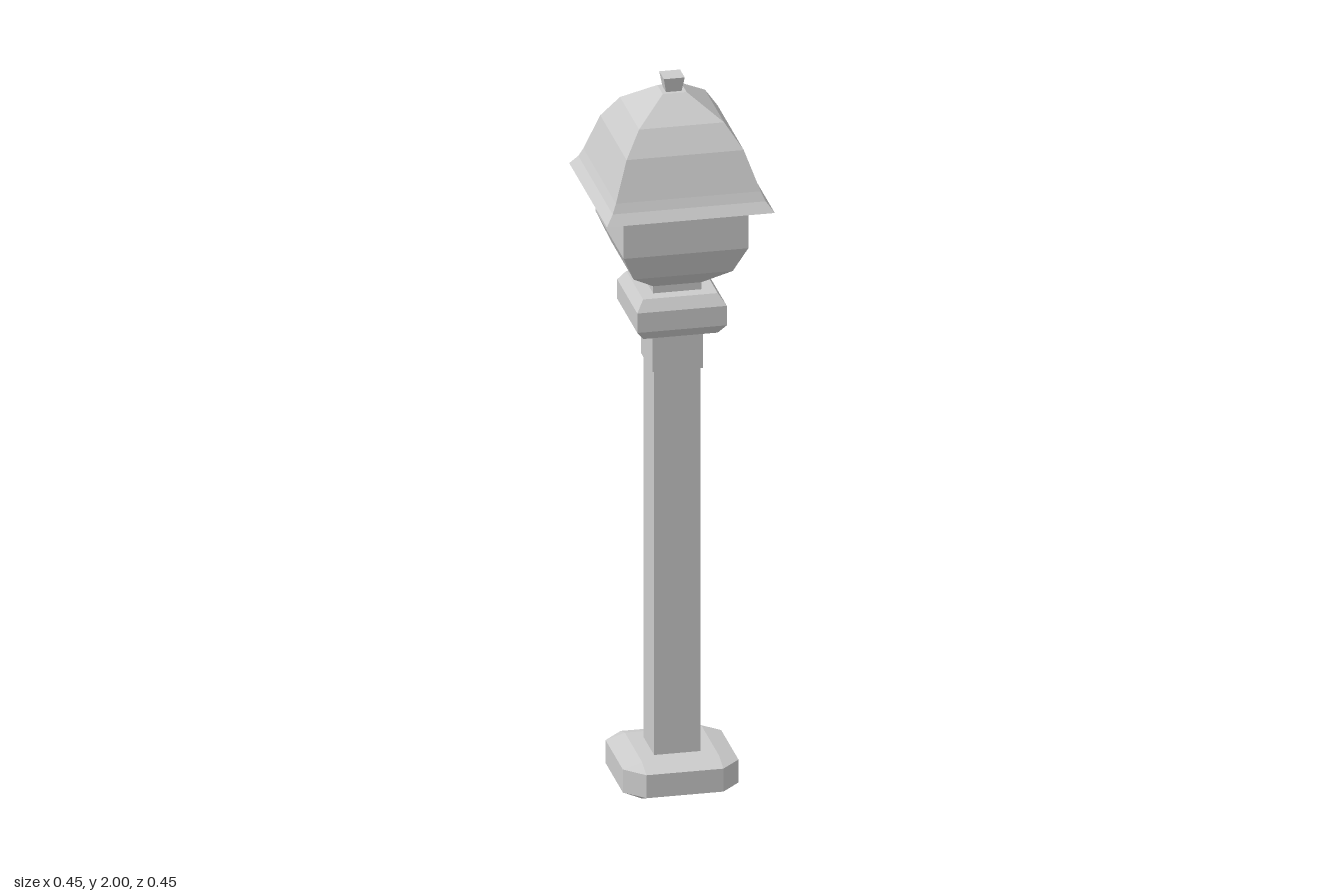
import * as THREE from 'three';
import { ConvexGeometry } from 'three/addons/geometries/ConvexGeometry.js';

const material = new THREE.MeshStandardMaterial({ color: 0xcccccc, flatShading: true });

// Square-section solid from [halfWidth, y] pairs, bottom to top, closed at both ends
function squareTurned(name, profile) {
  const closed = [[0, profile[0][1]], ...profile, [0, profile[profile.length - 1][1]]];
  const points = closed.map(([h, y]) => new THREE.Vector2(h * Math.SQRT2, y));
  const mesh = new THREE.Mesh(new THREE.LatheGeometry(points, 4, Math.PI / 4), material);
  mesh.name = name;
  return mesh;
}

// Bevelled slab: inner square at top and bottom, cut-cornered sides between
function bevelledBase(name, inner, outer, [y0, y1, y2, y3]) {
  const points = [];
  for (const sx of [-1, 1]) for (const sz of [-1, 1]) {
    for (const y of [y0, y3]) points.push(new THREE.Vector3(sx * inner, y, sz * inner));
    for (const y of [y1, y2]) {
      points.push(new THREE.Vector3(sx * outer, y, sz * inner));
      points.push(new THREE.Vector3(sx * inner, y, sz * outer));
    }
  }
  const mesh = new THREE.Mesh(new ConvexGeometry(points), material);
  mesh.name = name;
  return mesh;
}

export function createModel() {
  const model = new THREE.Group();
  model.name = 'lampPost';
  model.add(
    bevelledBase('base', 0.103, 0.155, [0, 0.022, 0.087, 0.103]),
    squareTurned('post', [[0.062, 0.09], [0.062, 1.19]]),
    squareTurned('postHead', [[0.068, 1.19], [0.068, 1.31]]),
    squareTurned('collar', [[0.1, 1.3], [0.12, 1.327], [0.12, 1.382], [0.1, 1.412]]),
    // Neck flares into the lantern body
    squareTurned('lantern', [[0.065, 1.405], [0.065, 1.432], [0.133, 1.485], [0.167, 1.56], [0.167, 1.68]]),
    // Bell-shaped roof with a flared brim and flat underside
    squareTurned('roof', [
      [0.225, 1.678], [0.205, 1.705], [0.194, 1.73], [0.157, 1.835], [0.114, 1.9], [0.032, 1.96],
    ]),
    squareTurned('finial', [[0.02, 1.955], [0.028, 2]]),
  );
  return model;
}
